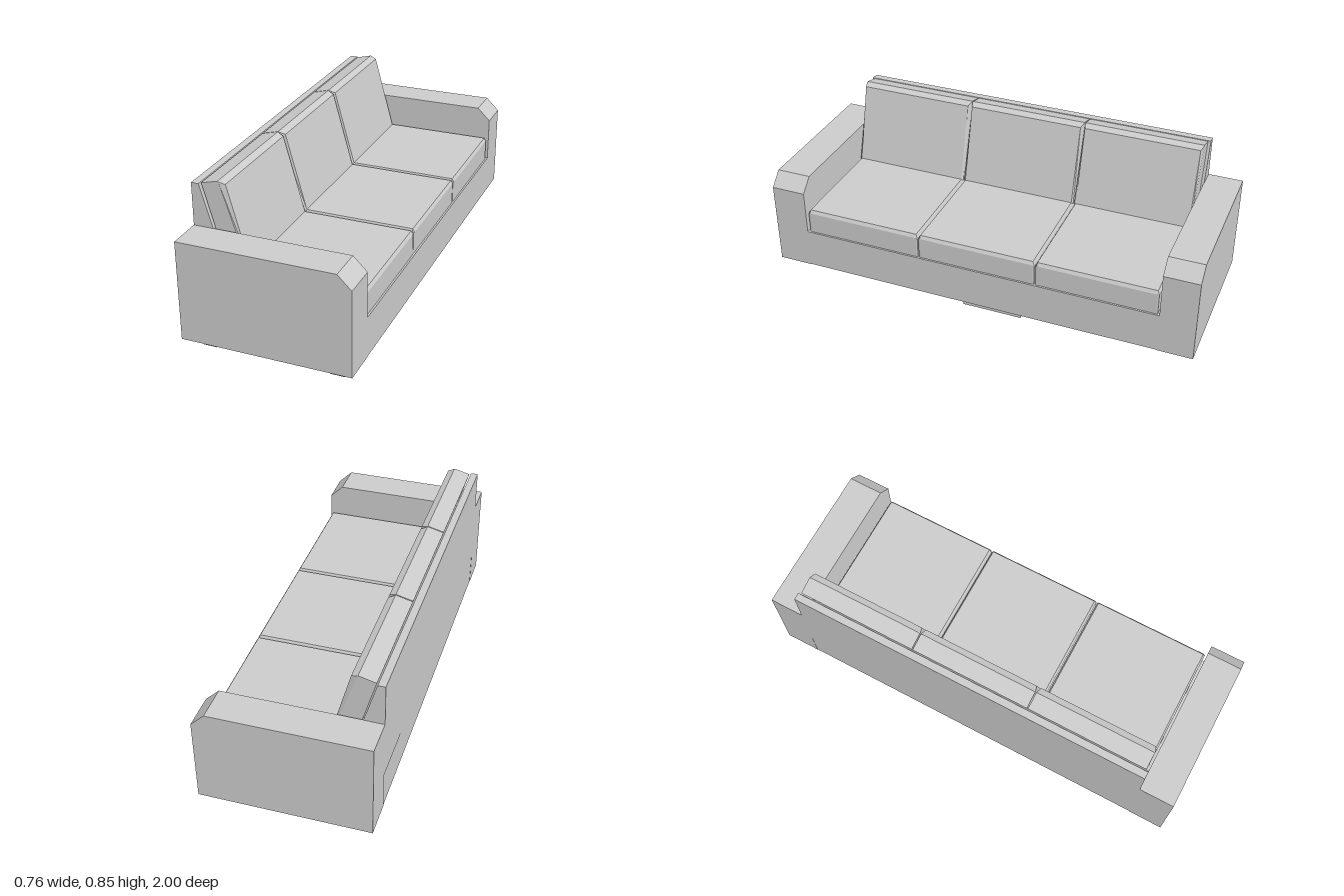
import * as THREE from 'three';

const material = new THREE.MeshStandardMaterial({ color: 0xcccccc, flatShading: true });

function addMesh(parent, name, geometry, x = 0, y = 0, z = 0) {
  const mesh = new THREE.Mesh(geometry, material);
  mesh.name = name;
  mesh.position.set(x, y, z);
  parent.add(mesh);
  return mesh;
}

// Side profile (x, y) extruded from z0 to z1
function slab(points, z0, z1) {
  const shape = new THREE.Shape(points.map(([x, y]) => new THREE.Vector2(x, y)));
  const geometry = new THREE.ExtrudeGeometry(shape, { depth: z1 - z0, bevelEnabled: false });
  return geometry.translate(0, 0, z0);
}

// Cushion lofted along z: smaller side profile at both ends, full profile between
function cushion(inner, outer, halfWidth, bevel) {
  const rings = [
    [outer, -halfWidth], [inner, -halfWidth + bevel],
    [inner, halfWidth - bevel], [outer, halfWidth],
  ].map(([profile, z]) => profile.map(([x, y]) => [x, y, z]));
  const n = inner.length;
  const positions = [];
  const tri = (a, b, c) => positions.push(...a, ...b, ...c);
  for (let i = 0; i < rings.length - 1; i++) {
    for (let j = 0; j < n; j++) {
      const k = (j + 1) % n;
      tri(rings[i][j], rings[i][k], rings[i + 1][k]);
      tri(rings[i][j], rings[i + 1][k], rings[i + 1][j]);
    }
  }
  for (let j = 1; j < n - 1; j++) {
    tri(rings[0][0], rings[0][j + 1], rings[0][j]);
    tri(rings[3][0], rings[3][j], rings[3][j + 1]);
  }
  const geometry = new THREE.BufferGeometry();
  geometry.setAttribute('position', new THREE.Float32BufferAttribute(positions, 3));
  geometry.computeVertexNormals();
  return geometry;
}

// Square foot, narrower at the floor end
function footGeometry() {
  const geometry = new THREE.CylinderGeometry(0.036 * Math.SQRT2, 0.031 * Math.SQRT2, 0.042, 4, 1);
  return geometry.rotateY(Math.PI / 4).scale(1, 1, 0.9);
}

export function createModel() {
  const sofa = new THREE.Group();
  sofa.name = 'sofa';

  // Seat base and sloped backrest, between the arms
  addMesh(sofa, 'seatBase', slab([[-0.378, 0.186], [0.378, 0.186], [0.378, 0.37], [-0.378, 0.37]], -0.842, 0.842));
  addMesh(sofa, 'backrest', slab([[-0.379, 0.36], [-0.21, 0.36], [-0.346, 0.825], [-0.379, 0.825]], -0.842, 0.842));

  // Arms with a chamfered front corner
  const armProfile = [[-0.379, 0.184], [0.378, 0.184], [0.378, 0.575], [0.317, 0.635], [-0.379, 0.635]];
  addMesh(sofa, 'leftArm', slab(armProfile, 0.84, 1));
  addMesh(sofa, 'rightArm', slab(armProfile, -1, -0.84));

  // Three seat cushions and three back cushions
  const seat = cushion(
    [[-0.2, 0.37], [0.37, 0.37], [0.37, 0.47], [0.361, 0.485], [-0.24, 0.485]],
    [[-0.2, 0.37], [0.368, 0.37], [0.368, 0.468], [0.362, 0.47], [-0.235, 0.47]],
    0.275, 0.008);
  const back = cushion(
    [[-0.242, 0.48], [-0.138, 0.48], [-0.235, 0.832], [-0.265, 0.845], [-0.34, 0.825]],
    [[-0.242, 0.48], [-0.144, 0.48], [-0.262, 0.842], [-0.267, 0.844], [-0.34, 0.825]],
    0.275, 0.008);
  for (const i of [-1, 0, 1]) {
    addMesh(sofa, 'seatCushion', seat, 0, 0, i * 0.555);
    addMesh(sofa, 'backCushion', back, 0, 0, i * 0.555);
  }

  // Feet under the arms and the central support block
  const foot = footGeometry();
  for (const x of [-0.277, 0.294]) {
    for (const z of [-0.92, 0.92]) addMesh(sofa, 'foot', foot, x, 0.164, z);
  }
  addMesh(sofa, 'supportBlock', new THREE.BoxGeometry(0.287, 0.187, 0.29), 0.0315, 0.0935, 0.005);

  return sofa;
}
